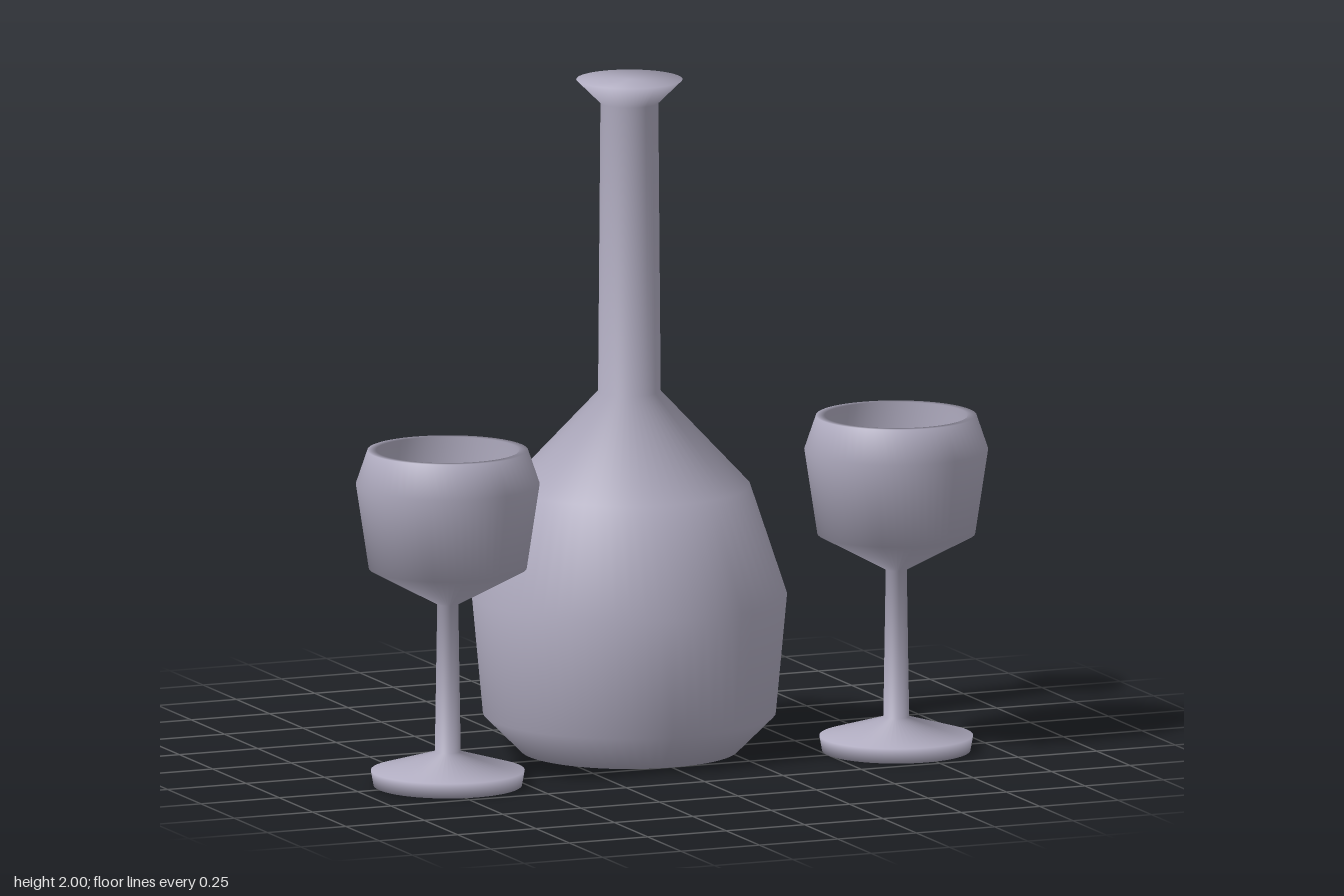
import * as THREE from 'three';

const glaze = new THREE.MeshStandardMaterial({ color: 0xb0acc0 });
glaze.name = 'pale lilac grey';

// Revolve a profile of [radius, height] points, listed from the bottom up
function turned(name, profile) {
  const points = profile.map(([r, y]) => new THREE.Vector2(r, y));
  const mesh = new THREE.Mesh(new THREE.LatheGeometry(points, 64), glaze);
  mesh.name = name;
  return mesh;
}

export function createModel() {
  const model = new THREE.Group();
  model.name = 'decanterSet';

  // Closed bottle: faceted belly, long neck, flared lip with a flat top
  const bottle = turned('bottle', [
    [0, 0], [0.32, 0], [0.43, 0.11], [0.463, 0.465], [0.355, 0.79],
    [0.092, 1.07], [0.085, 1.93], [0.156, 2], [0, 2],
  ]);
  bottle.position.z = -0.065;
  model.add(bottle);

  // Pair of goblets: foot, stem, outer bowl, rim, then the inside of the bowl
  const gobletProfile = [
    [0, 0], [0.218, 0], [0.226, 0.045], [0.038, 0.1], [0.031, 0.54],
    [0.232, 0.648], [0.27, 0.9], [0.236, 1],
    [0.21, 1], [0.24, 0.9], [0.207, 0.67], [0, 0.57],
  ];
  for (const side of [-1, 1]) {
    const goblet = turned(side > 0 ? 'leftGoblet' : 'rightGoblet', gobletProfile);
    goblet.position.set(side * 0.715, 0, 0.255);
    model.add(goblet);
  }
  return model;
}
